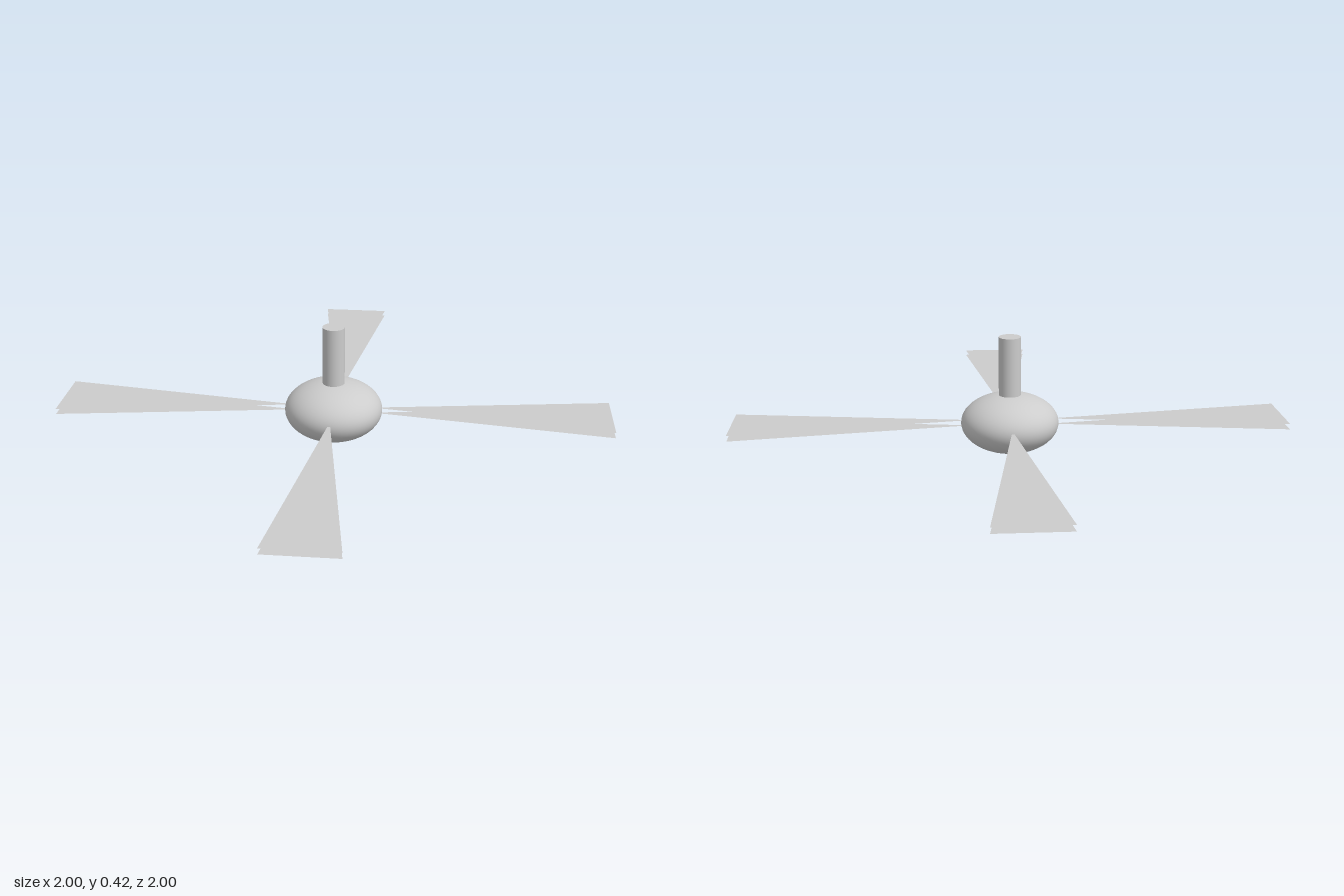
import * as THREE from 'three';

export function createModel() {
  const group = new THREE.Group();
  const grey = new THREE.MeshStandardMaterial({ color: 0xcccccc });
  grey.name = 'light grey';
  grey.side = THREE.DoubleSide; // blades are open sheets

  const add = (name, geometry, parent = group) => {
    const mesh = new THREE.Mesh(geometry, grey);
    mesh.name = name;
    parent.add(mesh);
    return mesh;
  };

  // Flattened hub
  const hubY = 0.1065;
  const hub = add('hub', new THREE.SphereGeometry(0.177, 48, 32));
  hub.scale.y = hubY / 0.177;
  hub.position.y = hubY;

  // Mounting rod, rooted inside the hub
  const rod = add('rod', new THREE.CylinderGeometry(0.04, 0.04, 0.32, 32));
  rod.position.y = 0.265;

  // Tapered blade outline, drawn along +x and laid flat
  const outline = new THREE.Shape([
    new THREE.Vector2(0.14, 0),
    new THREE.Vector2(1, -0.125),
    new THREE.Vector2(1, 0.125),
  ]);
  const sheet = new THREE.ShapeGeometry(outline).rotateX(-Math.PI / 2);

  // Four blades, each an upper and a lower sheet
  for (let i = 0; i < 4; i++) {
    const blade = new THREE.Group();
    blade.name = `blade${i + 1}`;
    blade.position.y = hubY;
    blade.rotation.y = (i * Math.PI) / 2;
    add('upperSheet', sheet, blade).position.y = 0.01;
    const lower = add('lowerSheet', sheet, blade);
    lower.position.y = -0.01;
    lower.rotation.x = Math.PI; // faces down
    group.add(blade);
  }
  return group;
}
